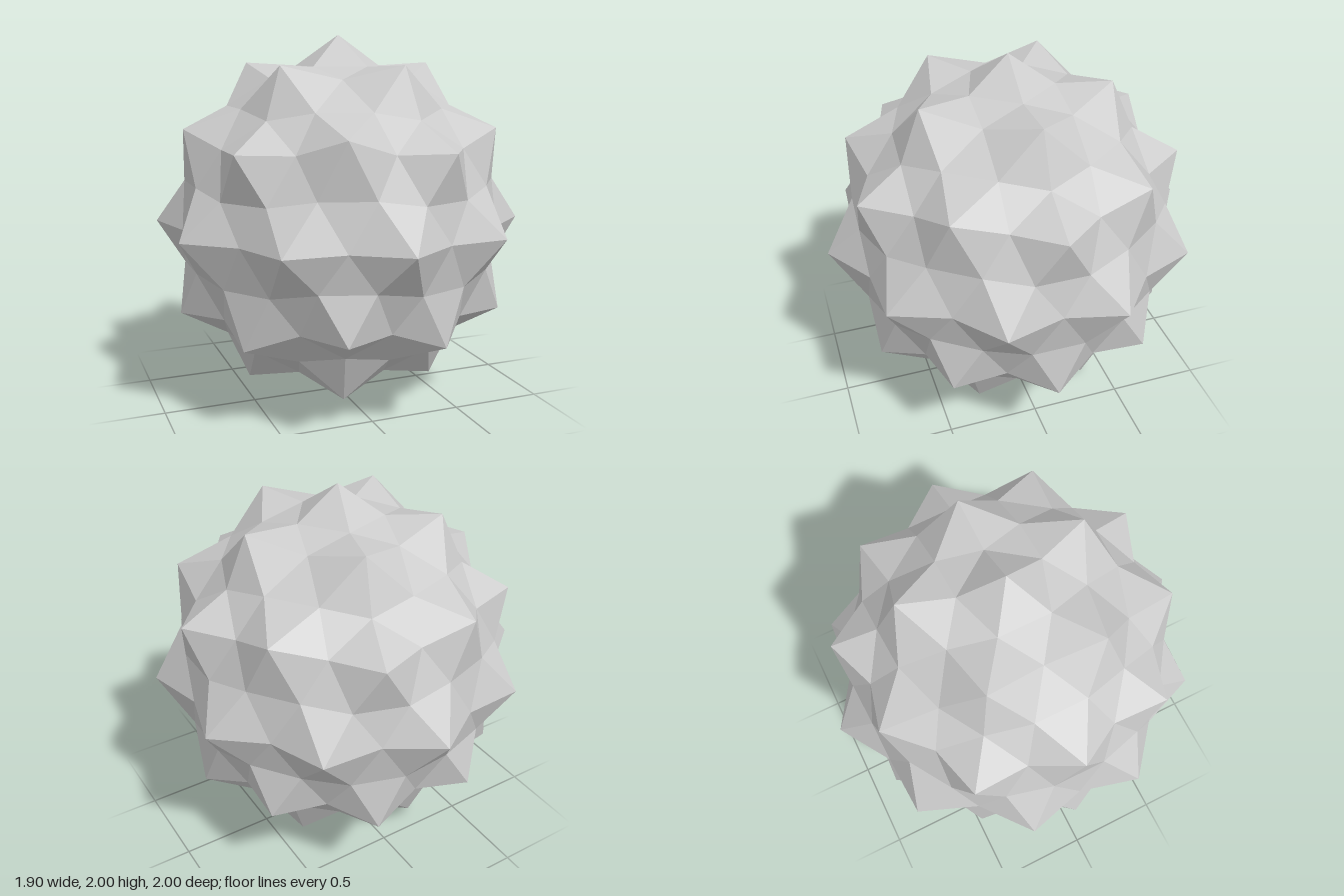
import * as THREE from 'three';

const VALLEY = 0.87; // radius of the hollows; spike tips sit at radius 1

// Split each triangle into four, placing the new edge midpoints at the given radius
function subdivide(triangles, radius) {
  const mid = (p, q) => p.clone().add(q).setLength(radius);
  return triangles.flatMap(([a, b, c]) => {
    const ab = mid(a, b), bc = mid(b, c), ca = mid(c, a);
    return [[a, ab, ca], [ab, b, bc], [ca, bc, c], [ab, bc, ca]];
  });
}

// Icosahedron standing on a vertex: two poles and two staggered rings of five
function icosahedron() {
  const h = 1 / Math.sqrt(5), r = 2 * h;
  const ring = (y, turn) => Array.from({ length: 5 }, (_, k) => {
    const a = (k + turn) * Math.PI * 2 / 5;
    return new THREE.Vector3(r * Math.cos(a), y, r * Math.sin(a));
  });
  const top = new THREE.Vector3(0, 1, 0), bottom = new THREE.Vector3(0, -1, 0);
  const up = ring(h, 0), low = ring(-h, 0.5);
  const faces = [];
  for (let k = 0; k < 5; k++) {
    const n = (k + 1) % 5;
    faces.push(
      [top, up[n], up[k]],
      [up[k], up[n], low[k]],
      [low[k], up[n], low[n]],
      [bottom, low[k], low[n]]
    );
  }
  return faces;
}

export function createModel() {
  const group = new THREE.Group();
  group.name = 'spikedBall';

  // 42 tips on the unit sphere, joined by sunken edge midpoints
  const faces = subdivide(subdivide(icosahedron(), 1), VALLEY);
  const geometry = new THREE.BufferGeometry().setFromPoints(faces.flat());
  geometry.computeVertexNormals();
  geometry.translate(0, 1, 0);

  const shell = new THREE.Mesh(
    geometry,
    new THREE.MeshStandardMaterial({ color: 0xcccccc, flatShading: true })
  );
  shell.name = 'spikedShell';
  group.add(shell);
  return group;
}
